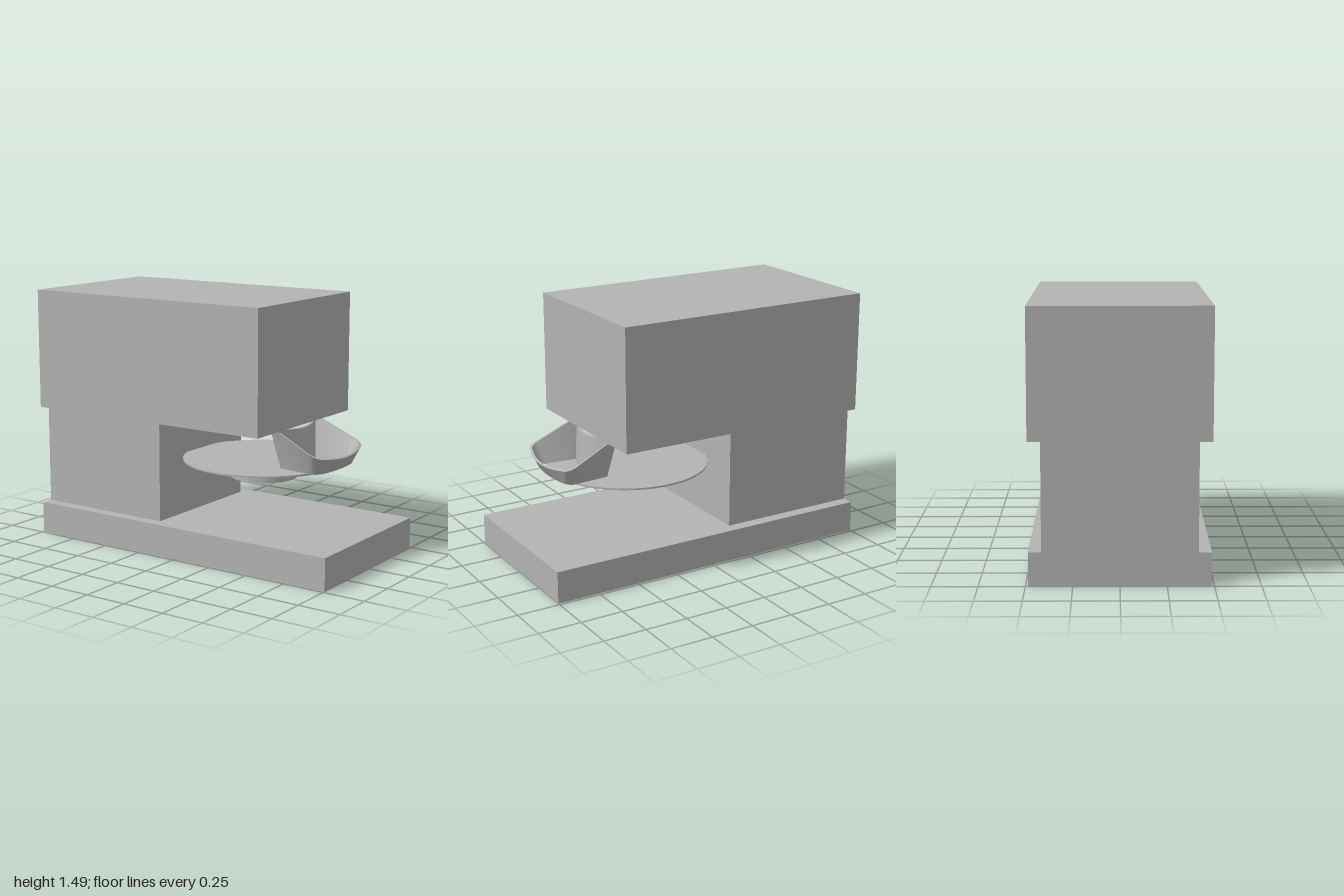
import * as THREE from 'three';
import { toCreasedNormals } from 'three/addons/utils/BufferGeometryUtils.js';

const PLATE_X = 0.291;

// Plan outline of the chute: a rounded ring sector, given as (x, z) points.
function outline(xb, zb, backMid, xf, zf, frontMid, t) {
  xb += t; backMid += t; xf -= t; frontMid -= t; zb -= t; zf -= t;
  const r = 0.06;
  const at = (k) => [xb + (xf - xb) * k, zb + (zf - zb) * k];
  const [kx, kz] = at(0.18);
  const [cx, cz] = at(0.8);
  const s = new THREE.Shape();
  s.moveTo(xb, -zb);
  s.quadraticCurveTo(2 * backMid - xb, 0, xb, zb);
  s.lineTo(kx, kz);
  s.lineTo(cx, cz);
  s.quadraticCurveTo(xf, zf, xf + 0.012, zf - r);
  s.quadraticCurveTo(2 * frontMid - xf - 0.012, 0, xf + 0.012, r - zf);
  s.quadraticCurveTo(xf, -zf, cx, -cz);
  s.lineTo(kx, -kz);
  s.lineTo(xb, -zb);
  return s.getPoints(14).slice(0, -1);
}

// Flared thin wall lofted through outer base, outer rim, inner rim and inner base.
function chuteGeometry() {
  const base = (t) => outline(0.525, 0.185, 0.575, 0.775, 0.205, 0.8, t)
    .map((p) => [p.x, 0.547, p.y]);
  const rim = (t) => outline(0.49, 0.235, 0.552, 0.805, 0.262, 0.85, t)
    .map((p) => [p.x, Math.min(0.765, 0.765 - 0.459 * (p.x - 0.545)), p.y]);
  const rings = [base(0), rim(0), rim(0.012), base(0.012)];
  const n = rings[0].length;
  const index = [];
  rings.forEach((_, j) => {
    const k = (j + 1) % rings.length;
    for (let i = 0; i < n; i++) {
      const m = (i + 1) % n;
      const a = j * n + i, b = j * n + m, c = k * n + i, d = k * n + m;
      index.push(a, b, c, b, d, c);
    }
  });
  const g = new THREE.BufferGeometry();
  g.setAttribute('position', new THREE.Float32BufferAttribute(rings.flat(2), 3));
  g.setIndex(index);
  return toCreasedNormals(g, 0.6);
}

export function createModel() {
  const model = new THREE.Group();
  const grey = new THREE.MeshStandardMaterial({ color: 0xb3b3b3 });
  grey.name = 'plain grey';

  const add = (name, geometry) => {
    const mesh = new THREE.Mesh(geometry, grey);
    mesh.name = name;
    model.add(mesh);
    return mesh;
  };
  const box = (name, x0, x1, y0, y1, halfDepth) =>
    add(name, new THREE.BoxGeometry(x1 - x0, y1 - y0, halfDepth * 2))
      .position.set((x0 + x1) / 2, (y0 + y1) / 2, 0);
  const disc = (name, radius, y0, y1) =>
    add(name, new THREE.CylinderGeometry(radius, radius, y1 - y0, 72))
      .position.set(PLATE_X, (y0 + y1) / 2, 0);

  // Housing
  box('base', -1, 1, 0, 0.185, 0.485);
  box('column', -1, -0.155, 0.185, 0.778, 0.415);
  box('head', -1, 0.567, 0.778, 1.485, 0.485);

  // Round plate on its hub
  disc('plate', 0.47, 0.538, 0.548);
  disc('hub', 0.196, 0.44, 0.538);

  // Flared chute at the plate edge
  add('chute', chuteGeometry());

  return model;
}
